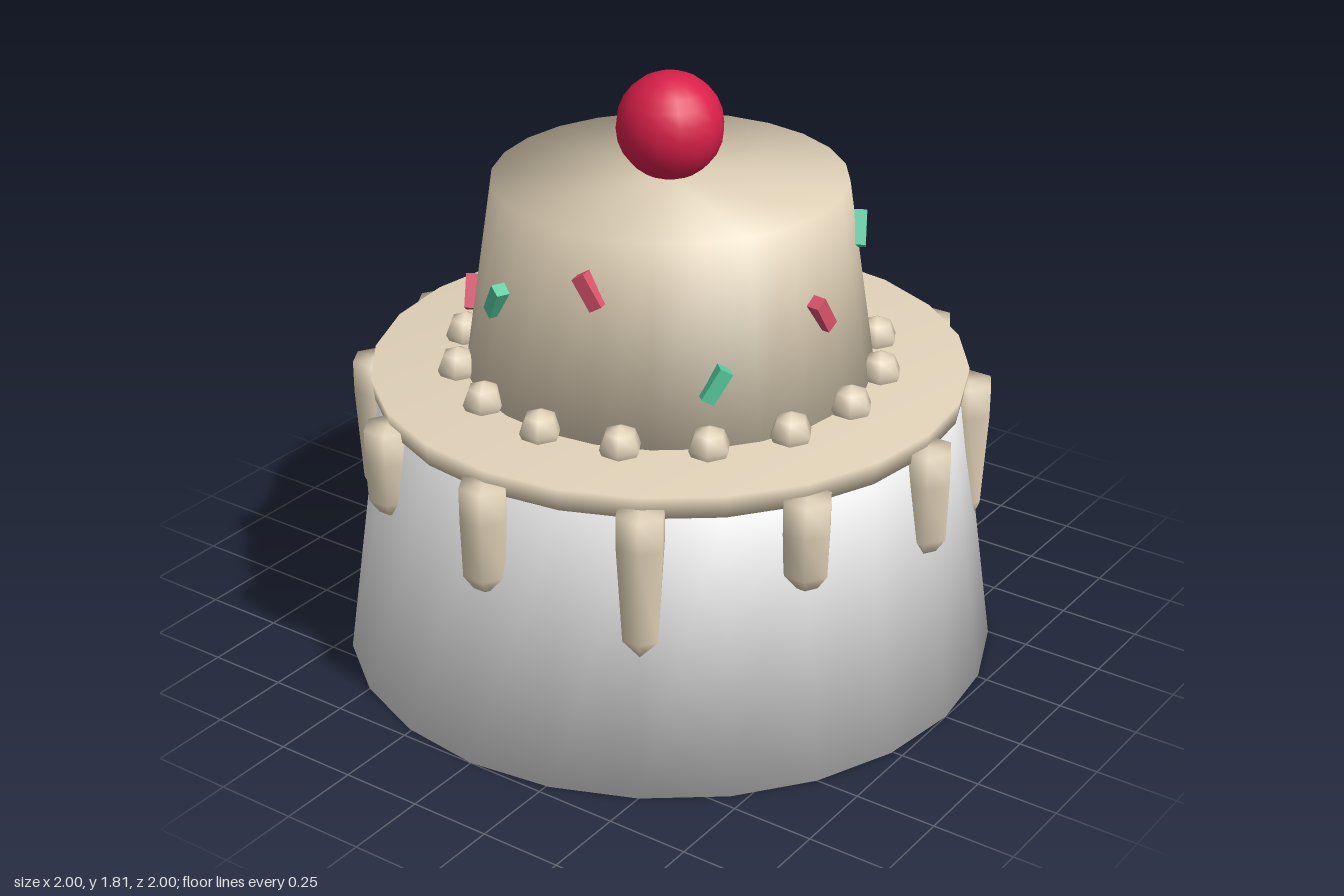
import * as THREE from 'three';
import { mergeVertices } from 'three/addons/utils/BufferGeometryUtils.js';

const material = (name, color) => {
  const m = new THREE.MeshStandardMaterial({ color });
  m.name = name;
  return m;
};

// Welds all vertices so that shading runs smoothly over every edge
function smooth(geometry) {
  geometry.deleteAttribute('uv');
  geometry.deleteAttribute('normal');
  const welded = mergeVertices(geometry, 1e-4);
  welded.computeVertexNormals();
  return welded;
}

export function createModel() {
  const cake = new THREE.Group();
  cake.name = 'cake';
  const white = material('white sponge', 0xe8e8e8);
  const cream = material('cream icing', 0xe2d3b9);
  const cherryRed = material('cherry red', 0xd81f49);
  const pink = material('pink sprinkle', 0xd9536c);
  const green = material('green sprinkle', 0x55c99e);

  const add = (name, geometry, mat, x = 0, y = 0, z = 0, parent = cake) => {
    const mesh = new THREE.Mesh(geometry, mat);
    mesh.name = name;
    mesh.position.set(x, y, z);
    parent.add(mesh);
    return mesh;
  };
  const tier = (name, top, bottom, y0, y1, mat) =>
    add(name, smooth(new THREE.CylinderGeometry(top, bottom, y1 - y0, 24)), mat, 0, (y0 + y1) / 2, 0);
  const group = (name) => {
    const g = new THREE.Group();
    g.name = name;
    cake.add(g);
    return g;
  };

  // Stacked tiers
  tier('lowerTier', 0.88, 1, 0, 0.86, white);
  tier('icingPlate', 0.9, 0.89, 0.84, 0.91, cream);
  tier('upperTier', 0.527, 0.617, 0.9, 1.5, cream);

  // Cherry
  add('cherry', smooth(new THREE.SphereGeometry(0.16, 16, 12)), cherryRed, 0, 1.655, 0);

  // Icing drips: six-sided, three lengths repeating round the rim
  const drips = group('drips');
  const tips = [0.535, 0.42, 0.585];
  for (let i = 0; i < 12; i++) {
    const a = (i * Math.PI) / 6;
    const tip = tips[i % 3];
    const narrow = i % 3 === 1 ? 0.058 : 0.07;
    const profile = [[0, tip], [0.04, tip + 0.01], [narrow, tip + 0.055], [0.075, 0.77], [0.075, 0.87], [0, 0.87]]
      .map(([r, y]) => new THREE.Vector2(r, y));
    add('drip', smooth(new THREE.LatheGeometry(profile, 6)), cream, 0.9 * Math.sin(a), 0, 0.9 * Math.cos(a), drips);
  }

  // Icing pearls round the foot of the upper tier
  const pearls = group('pearls');
  const pearl = smooth(new THREE.SphereGeometry(0.065, 6, 4).rotateY(Math.PI / 2));
  for (let i = 0; i < 16; i++) {
    const a = (i * Math.PI) / 8;
    add('pearl', pearl, cream, 0.64 * Math.sin(a), 0.93, 0.64 * Math.cos(a), pearls);
  }

  // Sprinkles: alternating colour and lean, climbing in three steps
  const sprinkles = group('sprinkles');
  const stick = new THREE.BoxGeometry(0.042, 0.105, 0.042);
  for (let i = 0; i < 10; i++) {
    const a = Math.PI / 2 + 0.2 + (i * Math.PI) / 5;
    const y = 1.1 + 0.127 * (i % 3);
    const r = 0.76 - 0.15 * y;
    const isGreen = i % 2 === 0;
    const s = add('sprinkle', stick, isGreen ? green : pink, r * Math.sin(a), y, r * Math.cos(a), sprinkles);
    s.rotation.set(0, a, isGreen ? -0.55 : 0.55, 'YXZ');
  }

  return cake;
}
